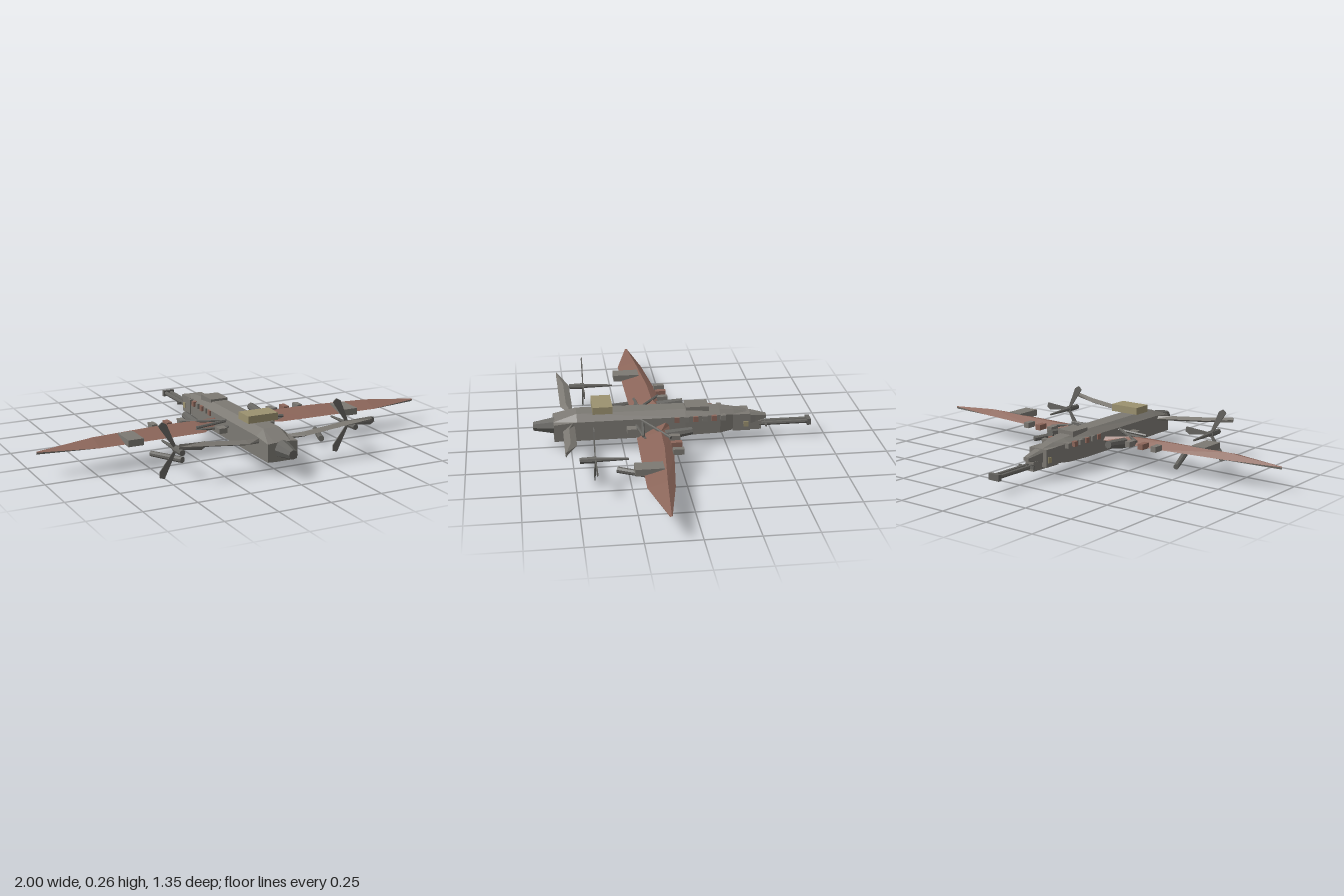
import * as THREE from 'three';

const mat = (name, color) => {
  const m = new THREE.MeshStandardMaterial({ color });
  m.name = name;
  m.flatShading = true;
  return m;
};

// Skin between rings of points; rings run counter-clockwise seen from the far end
function loft(rings, closed = true) {
  const pos = [];
  const tri = (...pts) => pts.forEach(p => pos.push(...p));
  const n = rings[0].length;
  for (let i = 0; i < rings.length - 1; i++) {
    for (let j = 0; j < (closed ? n : n - 1); j++) {
      const k = (j + 1) % n;
      const a = rings[i][j], b = rings[i + 1][j], c = rings[i + 1][k], d = rings[i][k];
      tri(a, d, c);
      tri(a, c, b);
    }
  }
  if (closed) {
    const first = rings[0], last = rings[rings.length - 1];
    for (let j = 1; j < n - 1; j++) {
      tri(first[0], first[j + 1], first[j]);
      tri(last[0], last[j], last[j + 1]);
    }
  }
  const g = new THREE.BufferGeometry();
  g.setAttribute('position', new THREE.Float32BufferAttribute(pos, 3));
  g.computeVertexNormals();
  return g;
}

export function createModel() {
  const model = new THREE.Group();
  model.name = 'aircraft';
  const gray = mat('hullGray', 0x7c7973);
  const dark = mat('metalGray', 0x656460);
  const red = mat('wingRed', 0x8c665a);
  const olive = mat('olive', 0x9c9270);

  const add = (parent, name, geo, material) => {
    const m = new THREE.Mesh(geo, material);
    m.name = name;
    parent.add(m);
    return m;
  };
  // Box given by its ranges on each axis
  const box = (parent, name, x0, x1, y0, y1, z0, z1, material) => {
    const m = add(parent, name, new THREE.BoxGeometry(x1 - x0, y1 - y0, z1 - z0), material);
    m.position.set((x0 + x1) / 2, (y0 + y1) / 2, (z0 + z1) / 2);
    return m;
  };
  // Rod from a to b, with a radius at each end
  const rod = (parent, name, a, b, ra, rb, material, sides = 8) => {
    const A = new THREE.Vector3(...a), B = new THREE.Vector3(...b);
    const m = add(parent, name, new THREE.CylinderGeometry(rb, ra, A.distanceTo(B), sides), material);
    m.position.copy(A).add(B).multiplyScalar(0.5);
    m.quaternion.setFromUnitVectors(new THREE.Vector3(0, 1, 0), B.sub(A).normalize());
    return m;
  };

  // Fuselage: z, half width, keel y, lower y, upper y, top y, top half width
  const hull = [
    [-0.455, 0.016, 0.108, 0.11, 0.122, 0.126, 0.01],
    [-0.4, 0.024, 0.09, 0.095, 0.13, 0.14, 0.015],
    [-0.29, 0.045, 0.065, 0.07, 0.148, 0.166, 0.022],
    [-0.22, 0.066, 0.055, 0.065, 0.157, 0.175, 0.03],
    [-0.05, 0.074, 0.047, 0.065, 0.16, 0.187, 0.038],
    [0.47, 0.075, 0.047, 0.065, 0.16, 0.19, 0.04],
    [0.58, 0.075, 0.064, 0.066, 0.15, 0.153, 0.04],
  ].map(([z, w, k, l, u, t, tw]) => [
    [w, l, z], [w, u, z], [tw, t, z], [-tw, t, z],
    [-w, u, z], [-w, l, z], [-tw * 0.9, k, z], [tw * 0.9, k, z],
  ]);
  add(model, 'fuselage', loft(hull), gray);
  rod(model, 'frontCone', [0, 0.12, 0.575], [0, 0.12, 0.677], 0.042, 0.022, dark);

  // Boxes on the hull
  box(model, 'topBox', -0.045, 0.045, 0.165, 0.197, -0.167, -0.055, gray);
  box(model, 'oliveBox', -0.077, 0.077, 0.197, 0.232, 0.3, 0.395, olive);
  box(model, 'gunCollar', -0.052, 0.052, 0.065, 0.15, -0.37, -0.285, gray);
  box(model, 'gunMount', -0.024, 0.024, 0.055, 0.1, -0.43, -0.3, gray);

  // Rear gun
  for (const x of [-0.014, 0.014]) {
    rod(model, 'gunBarrel', [x, 0.08, -0.42], [x, 0.08, -0.67], 0.011, 0.011, dark);
  }
  box(model, 'gunMuzzle', -0.03, 0.03, 0.065, 0.095, -0.677, -0.658, dark);
  box(model, 'gunClamp', -0.045, 0.045, 0.074, 0.086, -0.455, -0.447, dark);

  // Wing sections: x, rear z, front z, ridge y
  const wing = [
    [0.075, 0.03, 0.085, 0.137],
    [0.2, 0.04, 0.198, 0.148],
    [0.385, 0.045, 0.202, 0.15],
    [0.725, 0.083, 0.207, 0.147],
    [0.998, 0.132, 0.142, 0.122],
  ];
  const ridge = (a, b) => a + (b - a) * 0.28;

  // Tail plane sections: x, rear z, front z, mid y
  const plane = [
    [0.07, 0.482, 0.498, 0.143],
    [0.15, 0.482, 0.54, 0.151],
    [0.365, 0.486, 0.543, 0.174],
    [0.49, 0.537, 0.545, 0.187],
  ].map(([x, a, b, y]) => [
    [x, y, a], [x, y + 0.012, (a + b) / 2], [x, y, b], [x, y - 0.012, (a + b) / 2],
  ]);

  for (const side of [1, -1]) {
    const half = new THREE.Group();
    half.name = side > 0 ? 'leftSide' : 'rightSide';
    half.scale.x = side;
    model.add(half);

    add(half, 'wingTop', loft(wing.map(([x, a, b, y]) =>
      [[x, 0.12, a], [x, y, ridge(a, b)], [x, 0.12, b]]), false), red);
    add(half, 'wingUnderside', loft(wing.map(([x, a, b]) =>
      [[x, 0.12, b], [x, 0.109, ridge(a, b)], [x, 0.12, a]]), false), gray);
    add(half, 'tailPlane', loft(plane), gray);

    // Wing fittings
    box(half, 'wingBox', 0.527, 0.602, 0.118, 0.15, 0.115, 0.245, gray);
    box(half, 'rootBox', 0.102, 0.145, 0.115, 0.14, 0.192, 0.237, gray);
    [0.24, 0.315, 0.39].forEach((x, i) =>
      box(half, 'edgeTab', x - 0.014, x + 0.014, 0.118, 0.145, 0, 0.052, i === 1 ? red : gray));
    rod(half, 'nacelle', [0.178, 0.118, 0.06], [0.178, 0.134, -0.068], 0.026, 0.019, dark);

    // Struts between hull and wing
    rod(half, 'strut', [0.06, 0.155, 0.17], [0.26, 0.14, 0.045], 0.007, 0.007, dark, 6);
    rod(half, 'strut', [0.06, 0.15, 0.155], [0.23, 0.14, 0.17], 0.007, 0.007, dark, 6);
    rod(half, 'strut', [0.06, 0.13, 0.19], [0.23, 0.125, 0.16], 0.007, 0.007, dark, 6);

    // Tabs along the hull, alternating in colour
    for (let i = 0; i < 6; i++) {
      const z = -0.235 + i * 0.045;
      box(half, 'hullTab', 0.05, 0.082, 0.135, 0.16, z - 0.01, z + 0.014, i % 2 ? red : gray);
    }
    box(half, 'collarPanel', 0.05, 0.056, 0.085, 0.112, -0.36, -0.337, olive);

    // Slung pod
    rod(half, 'slungPod', [0.44, 0.03, 0.12], [0.365, 0.042, 0.305], 0.013, 0.015, dark);

    // Engine shaft and hub
    rod(half, 'propellerShaft', [0.445, 0.132, 0.26], [0.445, 0.135, 0.41], 0.005, 0.011, dark);
    rod(half, 'propellerHub', [0.445, 0.135, 0.405], [0.445, 0.135, 0.48], 0.017, 0.014, dark);
  }

  // Three-bladed propellers, both turned the same way
  const blade = new THREE.ExtrudeGeometry(new THREE.Shape([
    [0.008, -0.006], [0.125, -0.021], [0.147, -0.008], [0.142, 0.016], [0.008, 0.006],
  ].map(p => new THREE.Vector2(...p))), { depth: 0.005, bevelEnabled: false });
  for (const x of [-0.445, 0.445]) {
    const propeller = new THREE.Group();
    propeller.name = 'propeller';
    propeller.position.set(x, 0.135, 0.408);
    model.add(propeller);
    for (let i = 0; i < 3; i++) {
      add(propeller, 'propellerBlade', blade, dark).rotation.z = i * Math.PI * 2 / 3;
    }
  }
  return model;
}
